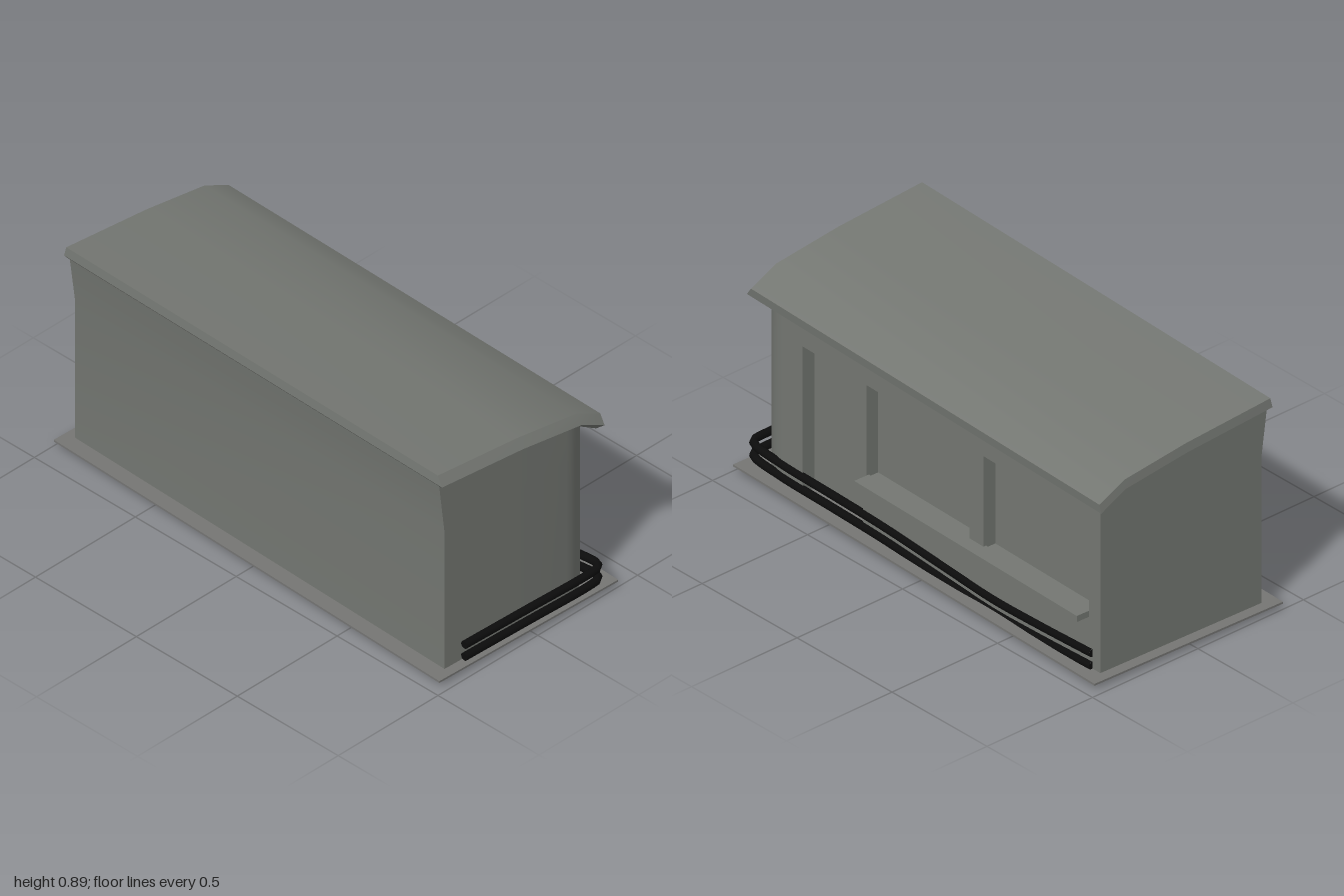
import * as THREE from 'three';
import { toCreasedNormals } from 'three/addons/utils/BufferGeometryUtils.js';

const HALF = 0.372, FRONT = 0.945, REAR = -0.942, FLOOR = 0.03, CORNER = 0.15;

// Curved roof line across x, falling gently towards the rear
const ROOF = [[-0.4, 0.888], [-0.01, 0.855], [0.275, 0.815], [0.395, 0.757]];
function roofY(x, z) {
  let i = 0;
  while (i < ROOF.length - 2 && x > ROOF[i + 1][0]) i++;
  const [x0, y0] = ROOF[i], [x1, y1] = ROOF[i + 1];
  return y0 + (y1 - y0) * (x - x0) / (x1 - x0) - 0.01 * (0.95 - z);
}

// Skin between stacked rings of points; quads are anticlockwise seen from outside
function loft(rings, closed, caps = []) {
  const pos = [];
  const quad = (a, b, c, d) => [a, b, c, a, c, d].forEach((p) => pos.push(...p));
  for (let r = 0; r < rings.length - 1; r++) {
    const lo = rings[r], hi = rings[r + 1], n = lo.length;
    for (let i = 0; i < (closed ? n : n - 1); i++) {
      const j = (i + 1) % n;
      quad(lo[i], lo[j], hi[j], hi[i]);
    }
  }
  caps.forEach((q) => quad(...q));
  const g = new THREE.BufferGeometry();
  g.setAttribute('position', new THREE.Float32BufferAttribute(pos, 3));
  return toCreasedNormals(g, 0.5);
}

export function createModel() {
  const wall = new THREE.MeshStandardMaterial({ name: 'grey green paint', color: 0x747772 });
  const ground = new THREE.MeshStandardMaterial({ name: 'grey slab', color: 0x757573 });
  const rubber = new THREE.MeshStandardMaterial({ name: 'black rail', color: 0x0c0c0c });
  wall.side = THREE.DoubleSide;

  const model = new THREE.Group();
  model.name = 'kiosk';
  const add = (name, geo, mat) => {
    const m = new THREE.Mesh(geo, mat);
    m.name = name;
    model.add(m);
    return m;
  };
  const box = (name, mat, x0, x1, y0, y1, z0, z1) =>
    add(name, new THREE.BoxGeometry(x1 - x0, y1 - y0, z1 - z0), mat)
      .position.set((x0 + x1) / 2, (y0 + y1) / 2, (z0 + z1) / 2);

  // Base slab
  box('baseSlab', ground, -0.435, 0.435, 0.022, 0.03, -0.985, 0.985);

  // Rear, blank side and front walls, ending in the rounded front corner
  const outline = [[HALF, REAR], [0.275, REAR], [-0.01, REAR], [-HALF, REAR],
    [-HALF, FRONT], [-0.01, FRONT]];
  for (let i = 0; i <= 10; i++) {
    const a = (i / 10) * Math.PI / 2;
    outline.push([HALF - CORNER + CORNER * Math.sin(a), FRONT - CORNER + CORNER * Math.cos(a)]);
  }
  add('outerWalls', loft([
    outline.map(([x, z]) => [x, FLOOR, z]),
    outline.map(([x, z]) => [x, 0.63, z]),
    outline.map(([x, z]) => [x === -HALF ? -0.398 : x, roofY(x, z) - 0.04, z]),
  ], false), wall);

  // Serving side: thick wall with a door notch and two window openings (shape x is -z)
  const z0 = FRONT - CORNER;
  const side = new THREE.Shape();
  [[-z0, FLOOR], [-0.68, FLOOR], [-0.68, 0.63], [-0.35, 0.63], [-0.35, FLOOR], [-REAR, FLOOR],
    [-REAR, roofY(HALF, REAR) - 0.035], [-z0, roofY(HALF, z0) - 0.035]]
    .forEach(([x, y], i) => (i ? side.lineTo(x, y) : side.moveTo(x, y)));
  for (const [a, b] of [[-0.333, 0.23], [0.305, 0.88]]) {
    const hole = new THREE.Path();
    hole.moveTo(a, 0.25).lineTo(a, 0.63).lineTo(b, 0.63).lineTo(b, 0.25).closePath();
    side.holes.push(hole);
  }
  const sideGeo = new THREE.ExtrudeGeometry(side, { depth: 0.055, bevelEnabled: false });
  sideGeo.rotateY(Math.PI / 2).translate(HALF - 0.055, 0, 0);
  add('servingWall', sideGeo, wall);
  box('doorAndWindowPanes', wall, 0.31, 0.317, FLOOR, 0.66, -0.9, 0.72);
  box('counterLedge', wall, 0.36, 0.428, 0.233, 0.258, -0.88, 0.333);

  // Roof: sloping soffit, slanted fascia and bent top
  const ring = (left, right, front, rear, drop) => {
    const xs = [left, -0.01, 0.275, right];
    const row = (z) => xs.map((x, i) => [x, roofY(ROOF[i][0], z) - drop, z]);
    return [...row(front), ...row(rear).reverse()];
  };
  const top = ring(-0.398, 0.392, 0.938, -0.96, 0);
  const caps = [0, 1, 2].map((i) => [top[i], top[i + 1], top[6 - i], top[7 - i]]);
  add('roof', loft([
    ring(-0.392, 0.368, 0.942, -0.94, 0.052),
    ring(-0.403, 0.388, 0.965, -0.966, 0.036),
    top,
  ], true, caps), wall);

  // Twin bumper rails wrapping the front corner and sagging along the side
  const rail = [[-0.3, 0.112, 0.97], [0, 0.112, 0.97], [0.3, 0.112, 0.97], [0.355, 0.112, 0.963],
    [0.374, 0.11, 0.94], [0.374, 0.097, 0.8], [0.374, 0.096, 0.5], [0.374, 0.094, 0.22],
    [0.374, 0.079, -0.12], [0.374, 0.069, -0.36], [0.374, 0.077, -0.6], [0.374, 0.094, -0.9]];
  for (const [name, drop] of [['upperRail', 0], ['lowerRail', 0.052]]) {
    const pts = rail.map(([x, y, z]) => new THREE.Vector3(x, y - drop, z));
    add(name, new THREE.TubeGeometry(new THREE.CatmullRomCurve3(pts), 90, 0.016, 12), rubber);
    for (const [p, turn] of [[pts[0], -Math.PI / 2], [pts[pts.length - 1], Math.PI]]) {
      const end = add(name + 'End', new THREE.CircleGeometry(0.016, 12), rubber);
      end.position.copy(p);
      end.rotation.y = turn;
    }
  }

  // The whole building stands slightly askew
  model.rotation.y = -0.03;
  const root = new THREE.Group();
  root.name = 'building';
  root.add(model);
  return root;
}
